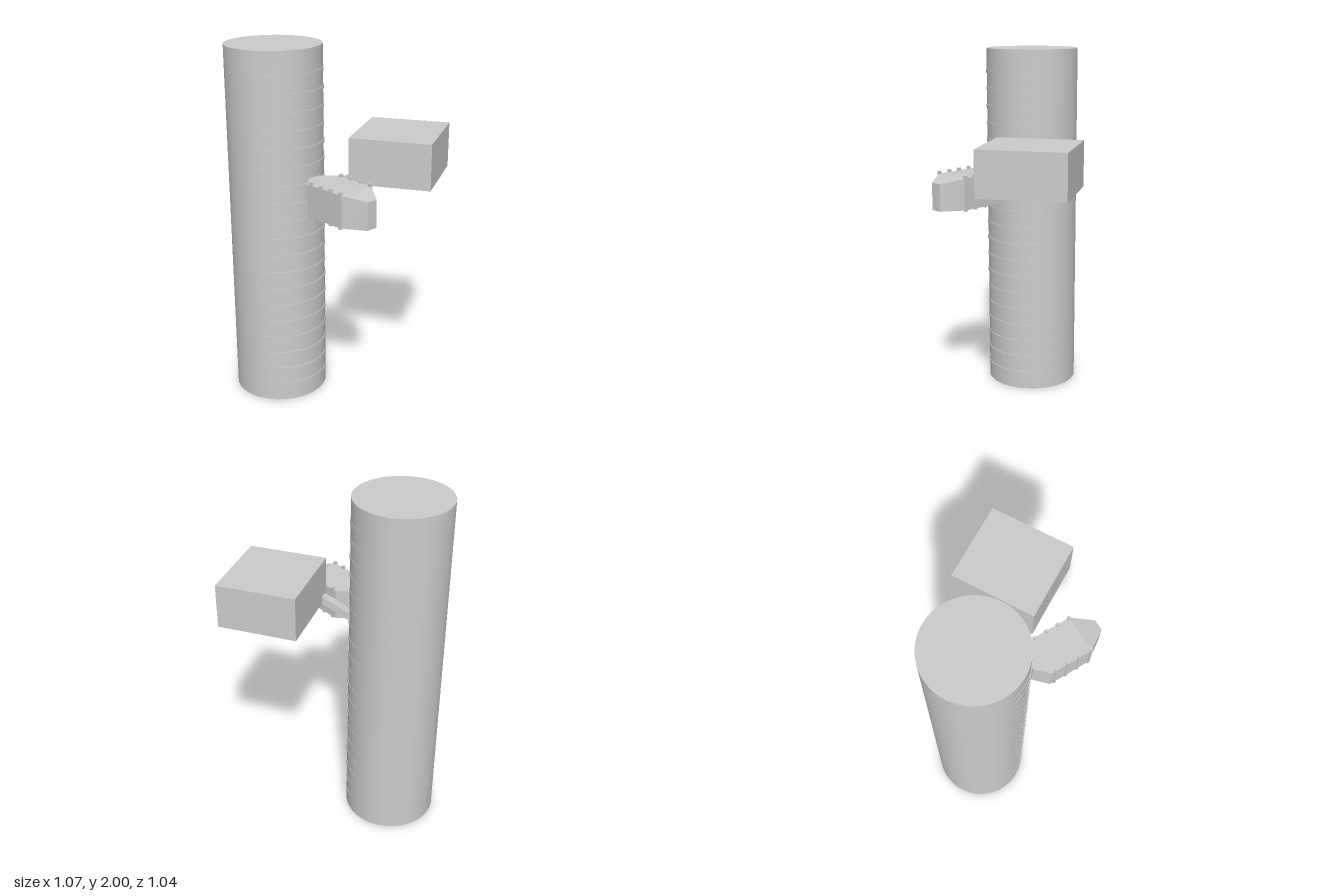
import * as THREE from 'three';
import { ConvexGeometry } from 'three/addons/geometries/ConvexGeometry.js';

export function createModel() {
  const model = new THREE.Group();
  const material = new THREE.MeshStandardMaterial({ color: 0xcccccc });

  function add(name, geometry, x = 0, y = 0, z = 0, parent = model) {
    const mesh = new THREE.Mesh(geometry, material);
    mesh.name = name;
    mesh.position.set(x, y, z);
    parent.add(mesh);
    return mesh;
  }

  // Tall round column
  const cx = -0.277, cz = 0.257, radius = 0.262;
  add('column', new THREE.CylinderGeometry(radius, radius, 2, 64), cx, 1, cz);

  // Thin bands, shifted so they stand proud on the side facing the pod
  const bands = new THREE.Group();
  bands.name = 'columnBands';
  model.add(bands);
  const bandGeometry = new THREE.CylinderGeometry(radius, radius, 0.02, 64);
  for (let i = 1; i <= 19; i++) {
    add('band', bandGeometry, cx + 0.005, i * 0.0984, cz, bands);
  }

  // Large turned box
  const box = add('cabinet', new THREE.BoxGeometry(0.443, 0.25, 0.479), 0.222, 1.415, -0.203);
  box.rotation.y = Math.PI / 6;

  // Sloping arm between the column and the box
  const start = new THREE.Vector3(-0.06, 1.185, 0.205);
  const end = new THREE.Vector3(0.15, 1.325, 0.06);
  const arm = add('cabinetArm', new THREE.BoxGeometry(0.05, 0.04, start.distanceTo(end)));
  arm.position.lerpVectors(start, end, 0.5);
  arm.lookAt(end);

  // Short stub holding the pod
  add('podStub', new THREE.BoxGeometry(0.1, 0.03, 0.02), 0, 1.215, cz);

  // Eight-sided pod: [x, half width, top height], with a sloping nose
  const pod = new THREE.Group();
  pod.name = 'pod';
  model.add(pod);
  const sections = [[0.04, 0.035, 1.335], [0.11, 0.108, 1.335], [0.357, 0.108, 1.335], [0.473, 0.031, 1.31]];
  const corners = [];
  for (const [x, half, top] of sections) {
    for (const side of [-1, 1]) {
      corners.push(new THREE.Vector3(x, 1.16, cz + 0.002 + side * half));
      corners.push(new THREE.Vector3(x, top, cz + 0.002 + side * half));
    }
  }
  add('podBody', new ConvexGeometry(corners), 0, 0, 0, pod);

  // Upright ribs along both sides of the pod
  const ribGeometry = new THREE.BoxGeometry(0.016, 0.196, 0.016);
  for (const side of [-1, 1]) {
    for (let i = 0; i < 4; i++) {
      add('podRib', ribGeometry, 0.137 + i * 0.0723, 1.252, cz + 0.002 + side * 0.104, pod);
    }
  }

  return model;
}
